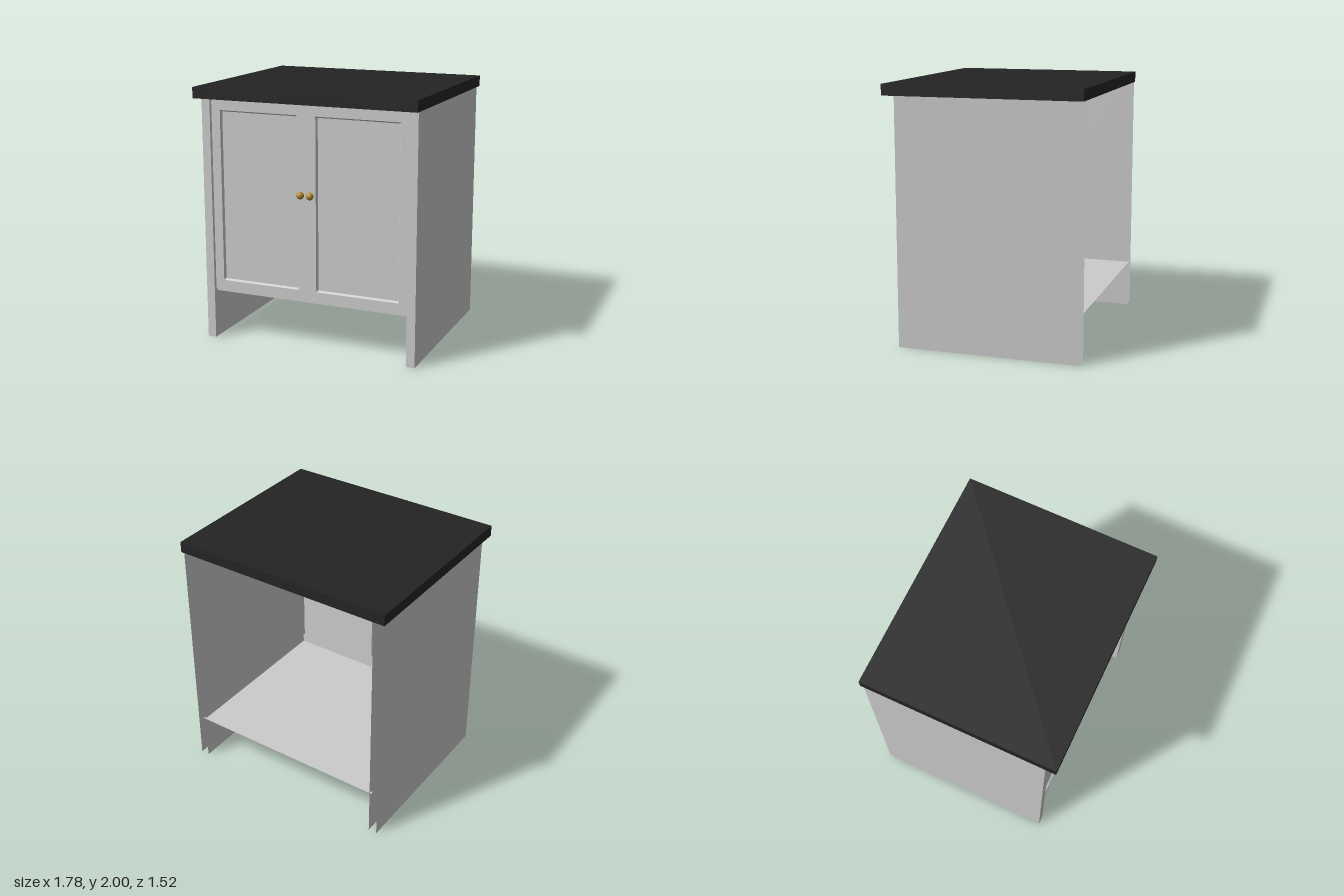
import * as THREE from 'three';

const grey = new THREE.MeshStandardMaterial({ color: 0xcccccc, side: THREE.DoubleSide });
const black = new THREE.MeshStandardMaterial({ color: 0x242424 });
const gold = new THREE.MeshStandardMaterial({ color: 0xb08d2a });

const FRONT = 0.67, BACK = -0.755, TOP = 1.915;
const INNER = 0.8, OUTER = 0.868, FLOOR = 0.378;
const DOOR_Z = 0.643, RAIL_Z = 0.625; // doors and rails sit back between the sides
const LIP = 0.075, TRAY = 0.82;

function add(parent, name, geometry, material, x = 0, y = 0, z = 0) {
  const mesh = new THREE.Mesh(geometry, material);
  mesh.name = name;
  mesh.position.set(x, y, z);
  parent.add(mesh);
  return mesh;
}

// Thin sheets: across the cabinet, along its side, and lying flat
const facing = (parent, name, x0, x1, y0, y1, z) =>
  add(parent, name, new THREE.PlaneGeometry(x1 - x0, y1 - y0), grey, (x0 + x1) / 2, (y0 + y1) / 2, z);

function upright(parent, name, x, y0, y1, z0, z1) {
  add(parent, name, new THREE.PlaneGeometry(z1 - z0, y1 - y0), grey, x, (y0 + y1) / 2, (z0 + z1) / 2)
    .rotation.y = Math.PI / 2;
}

function flat(parent, name, halfWidth, y, z0, z1) {
  add(parent, name, new THREE.PlaneGeometry(2 * halfWidth, z1 - z0), grey, 0, y, (z0 + z1) / 2)
    .rotation.x = -Math.PI / 2;
}

// Rectangle corners, counter-clockwise seen from the front
function rect(x0, x1, y0, y1) {
  return [[x0, y0], [x1, y0], [x1, y1], [x0, y1]].map(([x, y]) => new THREE.Vector2(x, y));
}

// Sloped moulding and flat panel sunk behind an opening in the doors
function sunkPanel(x0, x1, y0, y1) {
  const inset = 0.011, sink = 0.018;
  const a = rect(x0, x1, y0, y1);
  const b = rect(x0 + inset, x1 - inset, y0 + inset, y1 - inset);
  const pos = [];
  const put = (p, z) => pos.push(p.x, p.y, z);
  for (let i = 0; i < 4; i++) {
    const j = (i + 1) % 4;
    put(a[i], 0); put(a[j], 0); put(b[j], -sink);
    put(a[i], 0); put(b[j], -sink); put(b[i], -sink);
  }
  for (const i of [0, 1, 2, 0, 2, 3]) put(b[i], -sink);
  const g = new THREE.BufferGeometry();
  g.setAttribute('position', new THREE.Float32BufferAttribute(pos, 3));
  g.computeVertexNormals();
  return g;
}

export function createModel() {
  const model = new THREE.Group();
  model.name = 'cabinet';

  // Countertop
  add(model, 'countertop', new THREE.BoxGeometry(1.784, 2 - TOP, 1.52), black, 0, (2 + TOP) / 2, 0);

  // Hollow side panels, open at the back and underneath
  for (const s of [-1, 1]) {
    const side = new THREE.Group();
    side.name = s > 0 ? 'leftSide' : 'rightSide';
    model.add(side);
    upright(side, 'outerSheet', s * OUTER, 0, TOP, BACK, FRONT);
    upright(side, 'innerSheet', s * INNER, 0, TOP, BACK, FRONT);
    const edge = [s * INNER, s * OUTER].sort((p, q) => p - q);
    facing(side, 'frontEdge', ...edge, 0, TOP, FRONT);
    upright(side, 'floorLip', s * TRAY, FLOOR, FLOOR + LIP, BACK, RAIL_Z);
  }

  // Floor with its turned-up front rail, and the top rail
  flat(model, 'floor', TRAY, FLOOR, BACK, RAIL_Z);
  facing(model, 'bottomRail', -INNER, INNER, FLOOR, FLOOR + LIP, RAIL_Z);
  flat(model, 'topRail', INNER, TOP - 0.012, RAIL_Z - LIP, RAIL_Z);
  facing(model, 'topRailFront', -INNER, INNER, TOP - 0.025, TOP, RAIL_Z);

  // Door front with two framed panels
  const openings = [[-0.728, -0.084, 0.476, 1.819], [0.064, 0.728, 0.476, 1.819]];
  const frame = new THREE.Shape(rect(-INNER, INNER, 0.405, 1.893));
  for (const o of openings) frame.holes.push(new THREE.Path(rect(...o).reverse()));
  add(model, 'doorFrame', new THREE.ShapeGeometry(frame), grey, 0, 0, DOOR_Z);
  for (const o of openings) add(model, 'doorPanel', sunkPanel(...o), grey, 0, 0, DOOR_Z);

  // Knobs
  for (const x of [-0.045, 0.033]) {
    add(model, 'knob', new THREE.SphereGeometry(0.029, 16, 10), gold, x, 1.227, 0.683);
  }
  return model;
}
